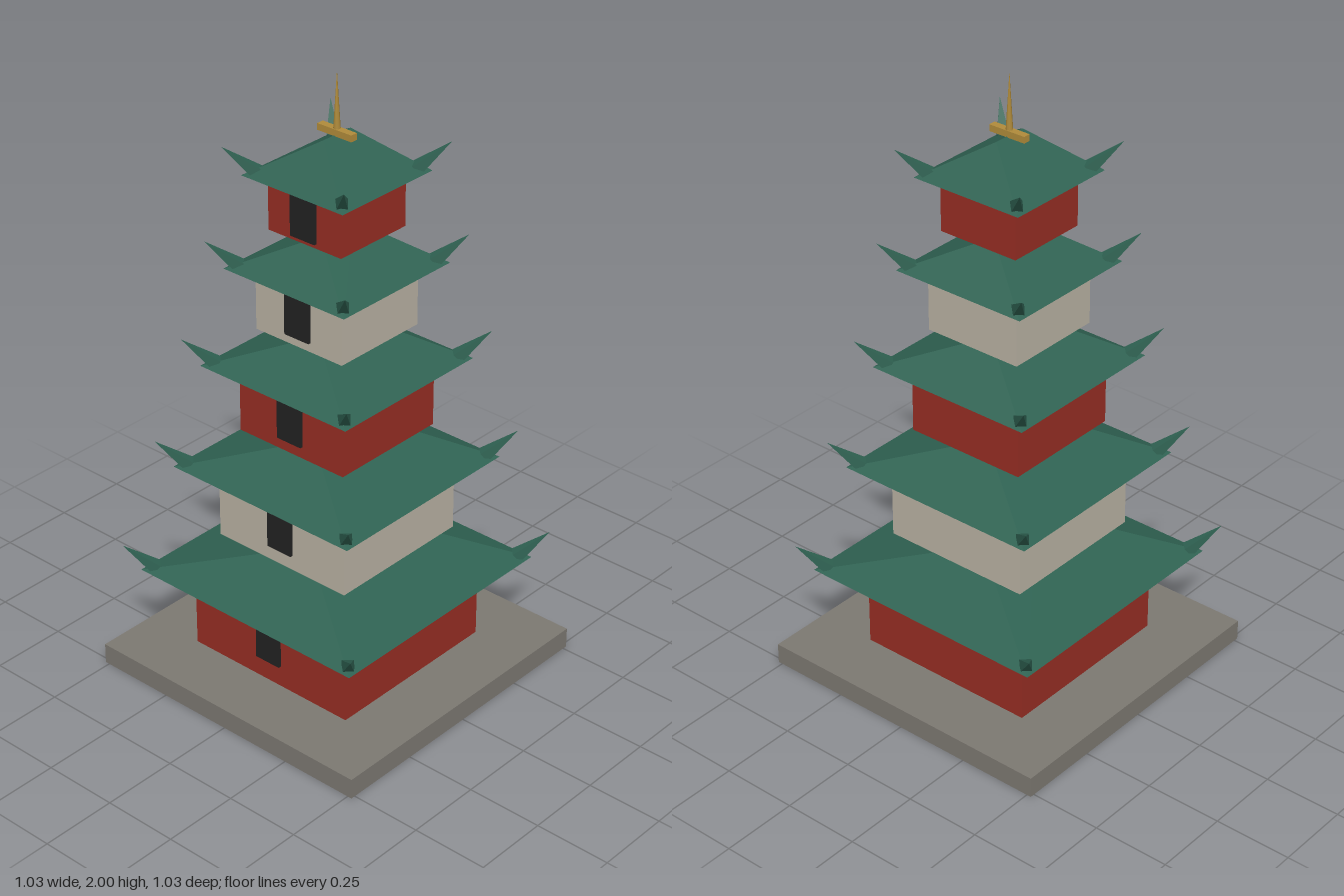
import * as THREE from 'three';

const material = (name, color) => {
  const m = new THREE.MeshStandardMaterial({ color });
  m.name = name;
  return m;
};

export function createModel() {
  const red = material('red wall', 0x962d23);
  const cream = material('cream wall', 0xb8b1a2);
  const green = material('green roof', 0x2f6252);
  const stone = material('stone', 0x7c7871);
  const gold = material('gold', 0xb08b3a);
  const black = material('dark door', 0x222222);

  const pagoda = new THREE.Group();
  pagoda.name = 'pagoda';

  const add = (parent, name, geometry, mat, x = 0, y = 0, z = 0) => {
    const mesh = new THREE.Mesh(geometry, mat);
    mesh.name = name;
    mesh.position.set(x, y, z);
    parent.add(mesh);
    return mesh;
  };

  // Closed hip roof: square eave, short ridge running front to back
  const hipRoof = (half, height) => {
    const r = half * 0.3;
    const a = [-half, 0, half], b = [half, 0, half];
    const c = [half, 0, -half], d = [-half, 0, -half];
    const f = [0, height, r], k = [0, height, -r];
    const faces = [a, b, f, b, c, k, b, k, f, c, d, k, d, a, f, d, f, k, a, d, c, a, c, b];
    const g = new THREE.BufferGeometry();
    g.setAttribute('position', new THREE.Float32BufferAttribute(faces.flat(), 3));
    g.computeVertexNormals();
    return g;
  };

  // Upturned four-sided horn, its base pulled inside the roof corner
  const hornAxis = new THREE.Vector3(0.073, 0.083, 0.073);
  const hornLength = hornAxis.length();
  const hornGeometry = new THREE.ConeGeometry(0.026, hornLength, 4).toNonIndexed();
  hornGeometry.computeVertexNormals();
  const up = new THREE.Vector3(0, 1, 0);

  // Storeys: wall half width, floor, eave, roof half width, door centre
  const roofHeight = 0.122;
  const storeys = [
    [0.31, 0.068, 0.344, 0.428, 0.212],
    [0.253, 0.466, 0.713, 0.35, 0.588],
    [0.205, 0.836, 1.06, 0.287, 0.947],
    [0.168, 1.18, 1.382, 0.234, 1.282],
    [0.14, 1.505, 1.68, 0.194, 1.592],
  ];

  // Plinth
  add(pagoda, 'plinth', new THREE.BoxGeometry(1.03, 0.068, 1.03), stone, 0, 0.034, 0);

  storeys.forEach(([wall, floor, eave, roof, doorY], i) => {
    const storey = new THREE.Group();
    storey.name = `storey${i + 1}`;
    pagoda.add(storey);

    const wallHeight = eave - floor;
    add(storey, 'walls', new THREE.BoxGeometry(wall * 2, wallHeight, wall * 2),
      i % 2 ? cream : red, 0, floor + wallHeight / 2, 0);
    add(storey, 'door', new THREE.BoxGeometry(0.094, 0.143, 0.02), black, 0, doorY, wall);
    add(storey, 'roof', hipRoof(roof, roofHeight), green, 0, eave, 0);
    add(storey, 'ridgeBar', new THREE.BoxGeometry(roof * 2 / 3, 0.021, 0.024), gold,
      0, eave + roofHeight + 0.008, 0);

    for (const sx of [-1, 1]) for (const sz of [-1, 1]) {
      const horn = add(storey, 'roofHorn', hornGeometry, green,
        sx * (roof + 0.002), eave + 0.049, sz * (roof + 0.002));
      const axis = new THREE.Vector3(sx * hornAxis.x, hornAxis.y, sz * hornAxis.z).normalize();
      horn.quaternion.setFromUnitVectors(up, axis);
    }
  });

  // Finial spike
  add(pagoda, 'finial', new THREE.ConeGeometry(0.012, 0.2, 8), gold, 0, 1.9, 0);

  return pagoda;
}
